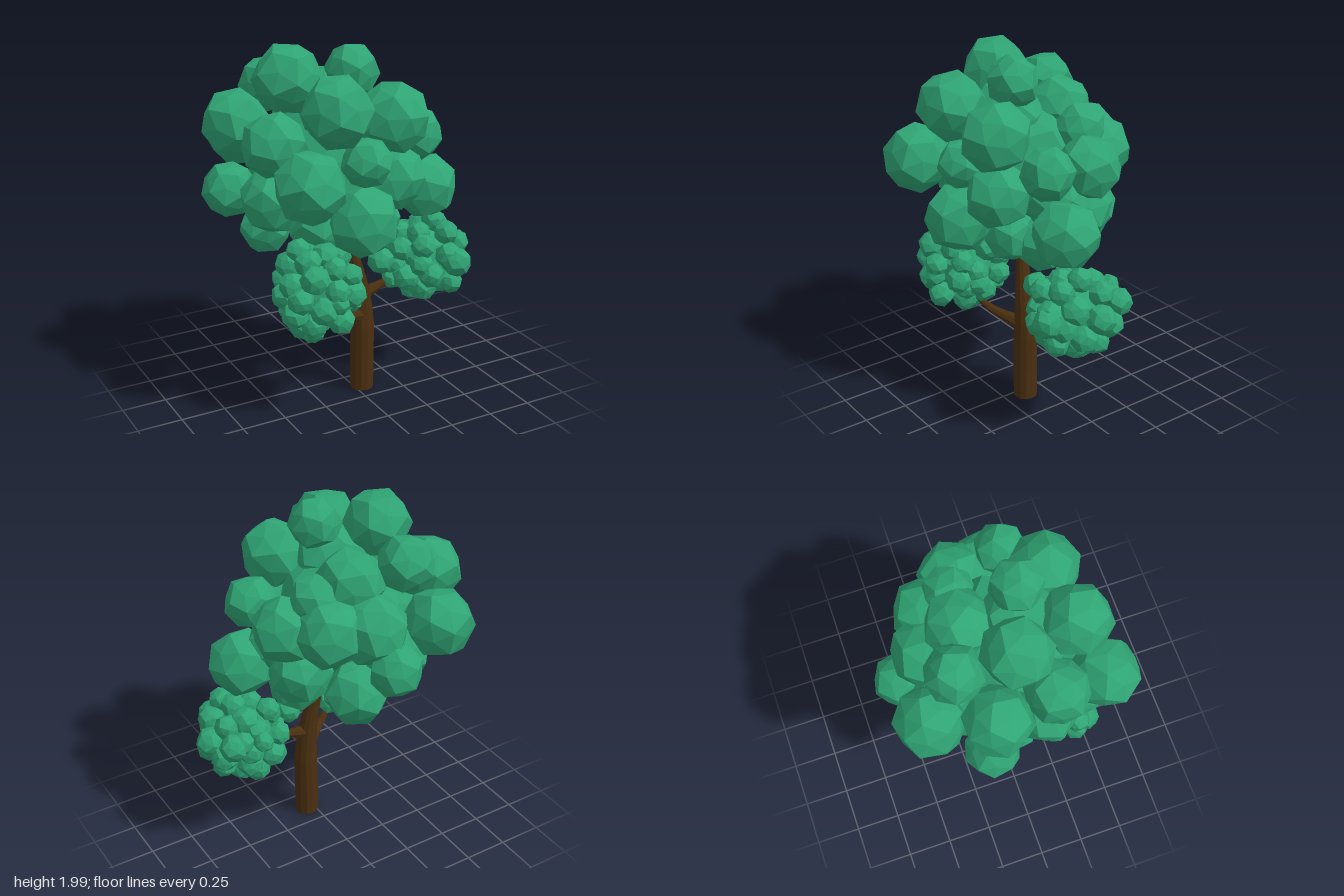
import * as THREE from 'three';
import { ConvexGeometry } from 'three/addons/geometries/ConvexGeometry.js';

const leafMat = new THREE.MeshStandardMaterial({ color: 0x2fa474, flatShading: true });
const barkMat = new THREE.MeshStandardMaterial({ color: 0x4a2f10, flatShading: true });

// Small seeded generator for the jitter of the leaf balls
function seeded(seed) {
  let s = seed;
  return () => (s = (s * 16807) % 2147483647) / 2147483647;
}

// Faceted ball: twelve pentagons, each bulging slightly at its middle
function facetedBall() {
  const pos = new THREE.IcosahedronGeometry(1, 0).attributes.position;
  const points = [];
  for (let i = 0; i < pos.count; i += 3) {
    const tri = [0, 1, 2].map((k) => new THREE.Vector3().fromBufferAttribute(pos, i + k));
    points.push(tri[0].clone().add(tri[1]).add(tri[2]).setLength(1.05));
    for (const middle of tri) {
      middle.setLength(0.94);
      if (!points.some((p) => p.distanceTo(middle) < 0.01)) points.push(middle);
    }
  }
  return new ConvexGeometry(points);
}
const ballGeometry = facetedBall();

function leafBall(name, x, y, z, r, rand) {
  const ball = new THREE.Mesh(ballGeometry, leafMat);
  ball.name = name;
  ball.position.set(x, y, z);
  ball.scale.setScalar(r);
  ball.rotation.set(rand() * 6, rand() * 6, rand() * 6);
  return ball;
}

// Limb along a curve, its radius running through the given list
function limb(name, points, radii, sides, segments) {
  const curve = new THREE.CatmullRomCurve3(points.map((p) => new THREE.Vector3(...p)));
  const geo = new THREE.TubeGeometry(curve, segments, 1, sides, false);
  const pos = geo.attributes.position;
  const v = new THREE.Vector3();
  for (let i = 0; i < pos.count; i++) {
    const t = Math.floor(i / (sides + 1)) / segments;
    const f = t * (radii.length - 1);
    const k = Math.min(Math.floor(f), radii.length - 2);
    const r = THREE.MathUtils.lerp(radii[k], radii[k + 1], f - k);
    const c = curve.getPointAt(t);
    v.fromBufferAttribute(pos, i).sub(c).multiplyScalar(r).add(c);
    pos.setXYZ(i, v.x, v.y, v.z);
  }
  const mesh = new THREE.Mesh(geo, barkMat);
  mesh.name = name;
  return mesh;
}

// Round bunch of small balls spread over a sphere
function leafCluster(name, x, y, z, seed) {
  const group = new THREE.Group();
  group.name = name;
  group.position.set(x, y, z);
  const rand = seeded(seed);
  const count = 32;
  for (let i = 0; i < count; i++) {
    const h = 1 - (2 * (i + 0.5)) / count;
    const a = i * 2.39996 + rand() * 0.4;
    const w = Math.sqrt(1 - h * h);
    const d = 0.175 + rand() * 0.045;
    group.add(leafBall('smallLeafBall', d * w * Math.cos(a), d * h, d * w * Math.sin(a), 0.064 + rand() * 0.016, rand));
  }
  group.add(leafBall('clusterCore', 0, 0, 0, 0.17, rand));
  return group;
}

// Crown balls: x, y, z, radius
const crownBalls = [
  // top
  [-0.35, 1.82, 0.03, 0.18], [-0.03, 1.85, 0.14, 0.14], [-0.05, 1.64, -0.17, 0.18], [-0.12, 1.63, 0.12, 0.2],
  // front
  [-0.245, 1.71, 0.38, 0.185], [0.1, 1.63, 0.34, 0.185], [-0.45, 1.38, 0.48, 0.185],
  [-0.12, 1.13, 0.43, 0.185], [0.1, 1.31, 0.33, 0.175], [-0.1, 1.44, 0.42, 0.13],
  // model's left
  [0.43, 1.15, 0.14, 0.18], [0.34, 1.47, 0.19, 0.14], [0.3, 1.43, -0.1, 0.175], [0.24, 1.27, 0.06, 0.17],
  // model's right
  [-0.57, 1.57, -0.14, 0.18], [-0.51, 1.53, 0.19, 0.165], [-0.6, 1.2, -0.18, 0.145], [-0.5, 1.22, 0.15, 0.17],
  // back
  [-0.42, 1.43, -0.45, 0.185], [-0.11, 1.27, -0.52, 0.14], [-0.32, 1.72, -0.28, 0.15],
  [-0.07, 1.44, -0.35, 0.19], [0.14, 1.45, -0.28, 0.185], [0.15, 1.58, -0.16, 0.14], [-0.24, 1.26, -0.33, 0.18],
  // underside
  [0, 1.06, -0.32, 0.17], [0.14, 0.98, 0.05, 0.16], [-0.46, 1.01, -0.03, 0.14], [0, 1.01, 0.18, 0.15],
  [-0.2, 1.03, 0.12, 0.18], [0.22, 1.16, -0.12, 0.17], [-0.3, 1.12, -0.2, 0.18],
];

// Small balls that stand out from the clusters
const outerBalls = [
  [0.16, 0.75, 0.13, 0.073], [0.24, 0.62, 0.12, 0.055], [0.47, 0.51, 0.1, 0.06],
  [0.61, 0.78, -0.07, 0.075], [0.53, 0.74, 0.33, 0.08], [0.46, 0.8, -0.13, 0.055],
  [-0.12, 0.7, 0.32, 0.065], [-0.34, 0.5, 0.27, 0.07], [-0.42, 0.97, 0.27, 0.065], [-0.3, 0.73, 0.49, 0.06],
];

export function createModel() {
  const tree = new THREE.Group();
  tree.name = 'tree';

  // Trunk with a closed foot
  tree.add(limb('trunk',
    [[0.045, 0, 0.125], [0.045, 0.2, 0.125], [0.047, 0.42, 0.125], [0.03, 0.62, 0.12], [-0.015, 0.86, 0.1], [-0.02, 0.95, 0.09]],
    [0.067, 0.067, 0.066, 0.055, 0.04, 0.028], 12, 10));
  const foot = new THREE.Mesh(new THREE.CircleGeometry(0.067, 12), barkMat);
  foot.name = 'trunkFoot';
  foot.rotation.x = Math.PI / 2;
  foot.position.set(0.045, 0, 0.125);
  tree.add(foot);

  // Side branches
  tree.add(limb('rightBranch',
    [[0.03, 0.45, 0.13], [-0.04, 0.48, 0.18], [-0.14, 0.52, 0.24], [-0.27, 0.62, 0.3]],
    [0.045, 0.028, 0.018, 0.01], 8, 6));
  tree.add(limb('leftBranch',
    [[0.04, 0.56, 0.12], [0.11, 0.585, 0.115], [0.2, 0.605, 0.11], [0.36, 0.68, 0.1]],
    [0.042, 0.026, 0.018, 0.01], 8, 6));

  // Crown
  const crown = new THREE.Group();
  crown.name = 'crown';
  const rand = seeded(71);
  for (const b of crownBalls) crown.add(leafBall('leafBall', ...b, rand));
  crown.add(leafBall('crownCore', -0.1, 1.38, 0.02, 0.34, rand));
  tree.add(crown);

  // Low leaf clusters on the branches
  tree.add(leafCluster('rightCluster', -0.315, 0.735, 0.29, 17));
  tree.add(leafCluster('leftCluster', 0.46, 0.715, 0.11, 523));
  for (const b of outerBalls) tree.add(leafBall('outerLeafBall', ...b, rand));
  return tree;
}
